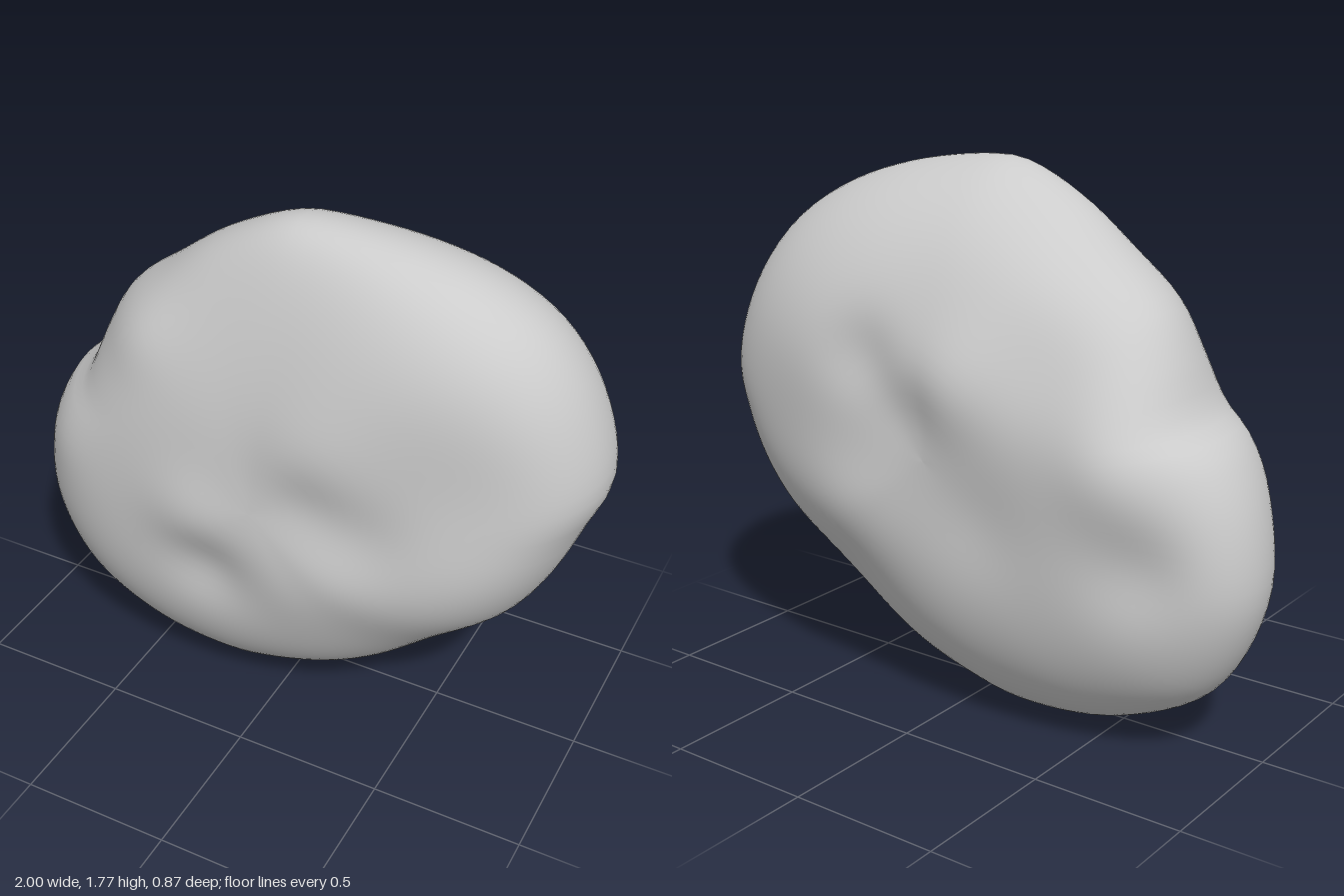
import * as THREE from 'three';

// Outline of the boulder in the x-y plane, counter-clockwise from the right end
const OUTLINE = [
  [1, 1.05], [0.93, 1.33], [0.8, 1.53], [0.63, 1.65], [0.4, 1.73], [0.1, 1.77], [-0.02, 1.76],
  [-0.25, 1.65], [-0.45, 1.5], [-0.62, 1.36], [-0.7, 1.23], [-0.78, 1.06], [-0.87, 0.99],
  [-0.96, 0.82], [-1, 0.57], [-0.96, 0.4], [-0.87, 0.24], [-0.78, 0.16], [-0.6, 0.07],
  [-0.43, 0.02], [-0.18, 0], [-0.03, 0.03], [0.2, 0.1], [0.36, 0.19], [0.58, 0.38],
  [0.77, 0.54], [0.86, 0.68], [0.95, 0.9],
];
const CENTRE = new THREE.Vector2(0, 0.88);

// Soft bumps (+) and dents (-) on each face: x, y, height, radius
const FRONT = [
  [-0.2, 0.78, 0.04, 0.18], [-0.17, 0.6, -0.04, 0.15], [0.2, 1.12, 0.02, 0.2],
  [0.18, 0.96, -0.02, 0.13], [0.36, 0.88, -0.02, 0.15], [0.2, 0.62, 0.025, 0.2],
  [-0.5, 1.4, 0.06, 0.16], [-0.84, 0.9, 0.04, 0.17], [0.75, 1.1, -0.07, 0.35],
];
const BACK = [
  [-0.08, 1.15, 0.045, 0.18], [0.24, 1.18, -0.03, 0.13], [0.06, 1.02, -0.02, 0.12],
  [0.3, 0.65, 0.04, 0.22], [0.45, 1.15, 0.035, 0.3], [-0.4, 1.25, -0.035, 0.2],
  [-0.68, 0.95, 0.04, 0.18], [-0.76, 0.65, -0.045, 0.16], [-0.2, 0.7, -0.02, 0.18],
];

const relief = (list, x, y) => list.reduce((sum, [bx, by, h, r]) =>
  sum + h * Math.exp(-((x - bx) ** 2 + (y - by) ** 2) / (r * r)), 0);

// Average of the neighbouring rim points, so notches fade out towards the faces
function smoothed(rim, i, reach = 8) {
  const sum = new THREE.Vector3();
  for (let k = -reach; k <= reach; k++) sum.add(rim[(i + k + rim.length) % rim.length]);
  return sum.divideScalar(2 * reach + 1);
}

function boulderGeometry(around = 112, rings = 64) {
  const curve = new THREE.CatmullRomCurve3(
    OUTLINE.map(([x, y]) => new THREE.Vector3(x, y, 0)), true);
  const rim = curve.getSpacedPoints(around).slice(0, around);
  const inner = rim.map((_, i) => smoothed(rim, i));
  const positions = [];
  const index = [];

  // Rings run from the front centre over the rim to the back centre
  for (let j = 0; j <= rings; j++) {
    const t = (j / rings) * Math.PI;
    const s = j === rings / 2 ? 1 : Math.max(0, Math.sin(t));
    const side = Math.sign(rings / 2 - j);
    for (let i = 0; i < around; i++) {
      const p = inner[i].clone().lerp(rim[i], s ** 6);
      const dx = p.x - CENTRE.x;
      const dy = p.y - CENTRE.y;
      const a = Math.atan2(dy, dx);
      const c2 = Math.cos(a) ** 2;
      const s2 = 1 - c2;
      // Blunt at the two ends, tapered to the top, the bottom and the lower right
      const n = (dx > 0 ? 7 : 5) * c2 + (dy > 0 ? 2.4 : 3.5) * s2
        - 2 * Math.max(0, Math.cos(a + 0.75)) ** 8;
      const w = Math.sqrt(1 - s ** n);
      const x = CENTRE.x + dx * s;
      const y = CENTRE.y + dy * s;
      const rimZ = ((dy > 0 ? 0.09 * s2 : 0) - (dx > 0 ? 0.03 : 0.07) * c2) * s ** 6;
      const depth = 0.4 + relief(side > 0 ? FRONT : BACK, x, y);
      positions.push(x, y, rimZ + side * w * depth);
    }
  }
  for (let j = 0; j < rings; j++) {
    for (let i = 0; i < around; i++) {
      const k = (i + 1) % around;
      const a = j * around + i, b = j * around + k;
      const d = a + around, e = b + around;
      if (j < rings - 1) index.push(a, d, e);
      if (j > 0) index.push(a, e, b);
    }
  }
  const geometry = new THREE.BufferGeometry();
  geometry.setAttribute('position', new THREE.Float32BufferAttribute(positions, 3));
  geometry.setIndex(index);
  geometry.computeVertexNormals();
  return geometry;
}

export function createModel() {
  const group = new THREE.Group();
  group.name = 'rock';
  const boulder = new THREE.Mesh(
    boulderGeometry(), new THREE.MeshStandardMaterial({ color: 0xcccccc }));
  boulder.name = 'boulder';
  group.add(boulder);
  return group;
}
